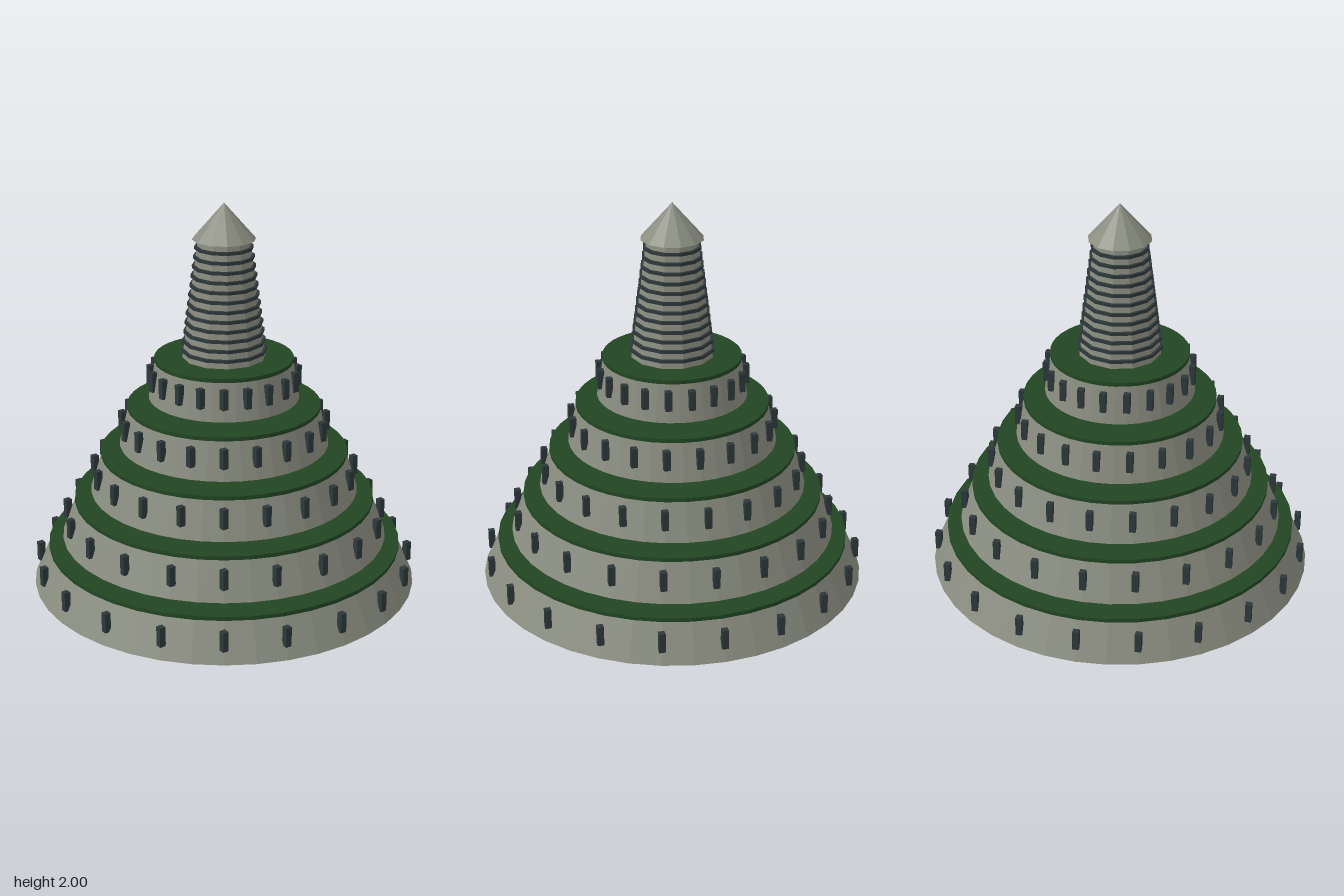
import * as THREE from 'three';

const material = (name, color) => {
  const m = new THREE.MeshStandardMaterial({ color });
  m.name = name;
  return m;
};

// Plain cylinder with hard facets, placed by its base height
function drum(name, rTop, rBottom, y, height, sides, mat) {
  const indexed = new THREE.CylinderGeometry(rTop, rBottom, height, sides);
  const geometry = indexed.toNonIndexed();
  geometry.computeVertexNormals();
  const mesh = new THREE.Mesh(geometry, mat);
  mesh.name = name;
  mesh.position.y = y + height / 2;
  return mesh;
}

export function createModel() {
  const stone = material('stone', 0x8a8d80);
  const grass = material('grass green', 0x224623);
  const slate = material('dark slate', 0x2d383b);

  const model = new THREE.Group();
  model.name = 'tieredTower';

  // Five separate terraces, each with a green roof and twenty small blocks
  const blockGeometry = new THREE.BoxGeometry(0.032, 0.102, 0.032);
  const blockCount = 20;
  for (let i = 0; i < 5; i++) {
    const radius = 1 - i / 6.5;
    const terrace = new THREE.Group();
    terrace.name = `terrace${i + 1}`;
    terrace.position.y = i * 0.2485;
    terrace.add(drum('terraceWall', radius * 0.91, radius, 0, 0.2, 40, stone));
    terrace.add(drum('terraceRoof', radius * 0.92, radius * 0.92, 0.194, 0.02, 40, grass));
    for (let k = 0; k < blockCount; k++) {
      const a = (k / blockCount) * Math.PI * 2;
      const block = new THREE.Mesh(blockGeometry, slate);
      block.name = 'windowBlock';
      block.position.set(Math.sin(a) * radius * 0.97, 0.114, Math.cos(a) * radius * 0.97);
      terrace.add(block);
    }
    model.add(terrace);
  }

  // Tapered spire with dark bands
  const spire = new THREE.Group();
  spire.name = 'spire';
  const base = 1.2, height = 0.62, rBottom = 0.213, rTop = 0.13;
  spire.add(drum('spireShaft', rTop, rBottom, base, height, 12, stone));
  for (let i = 0; i < 12; i++) {
    const y = 1.247 + i * 0.0482;
    const r = THREE.MathUtils.lerp(rBottom, rTop, (y - base) / height) + 0.012;
    spire.add(drum('spireBand', r, r, y - 0.008, 0.016, 12, slate));
  }

  // Pointed cap
  spire.add(drum('spireCap', 0, 0.16, 1.818, 0.182, 12, stone));
  model.add(spire);

  return model;
}
